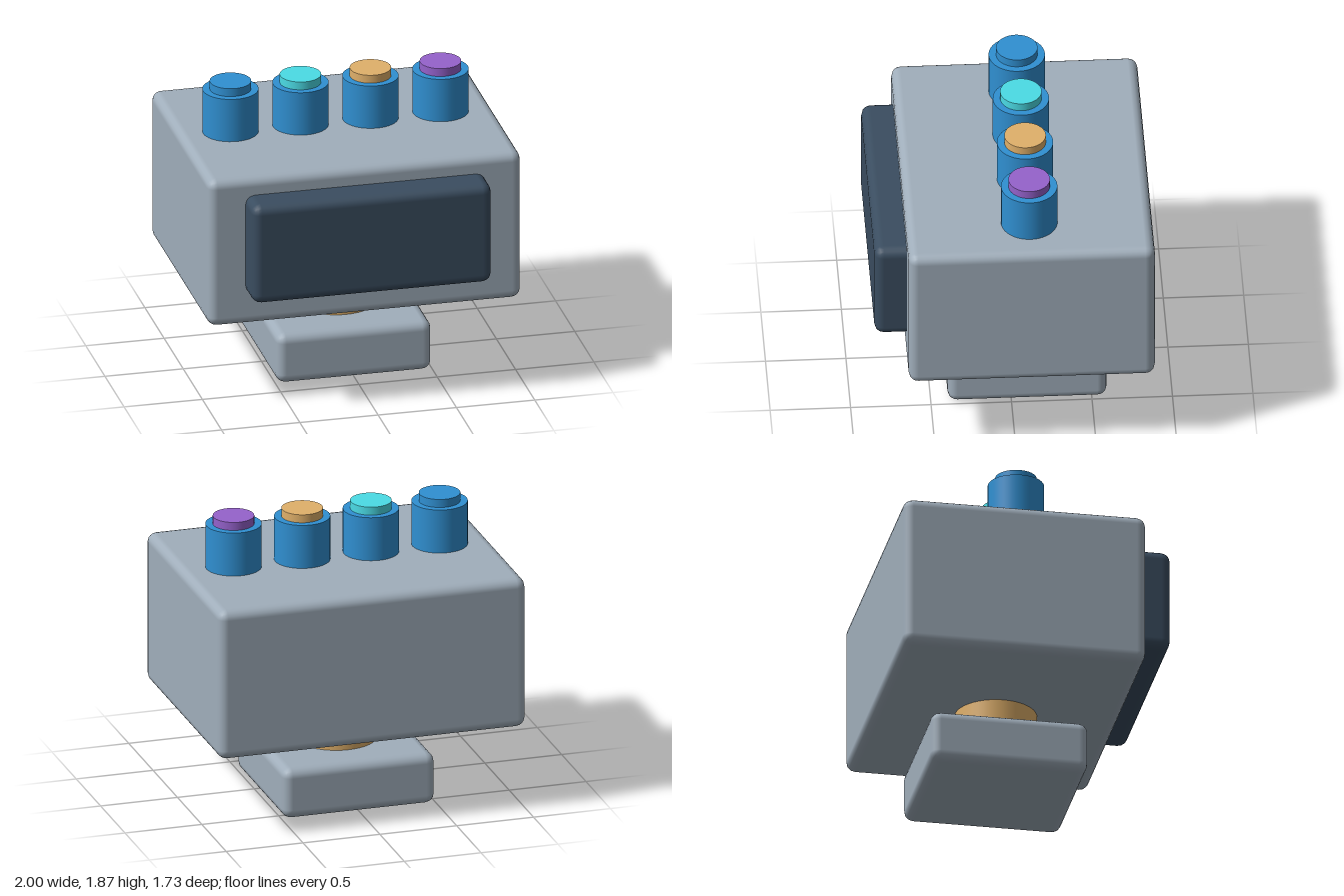
import * as THREE from 'three';
import { RoundedBoxGeometry } from 'three/addons/geometries/RoundedBoxGeometry.js';

const paint = (name, color) => {
  const m = new THREE.MeshStandardMaterial({ color });
  m.name = name;
  return m;
};

export function createModel() {
  const model = new THREE.Group();
  model.name = 'deviceHead';

  const grey = paint('shellGrey', 0xa0aebb);
  const slate = paint('screenSlate', 0x3a4d60);
  const blue = paint('buttonBlue', 0x3090d2);
  const teal = paint('capTeal', 0x4bdce6);
  const gold = paint('gold', 0xe0b06a);
  const purple = paint('capPurple', 0x9562cc);

  const add = (name, geometry, material, x, y, z) => {
    const mesh = new THREE.Mesh(geometry, material);
    mesh.name = name;
    mesh.position.set(x, y, z);
    model.add(mesh);
  };
  // Rounded block given by its extents
  const block = (name, material, [x0, x1], [y0, y1], [z0, z1]) =>
    add(name, new RoundedBoxGeometry(x1 - x0, y1 - y0, z1 - z0, 2, 0.06), material,
      (x0 + x1) / 2, (y0 + y1) / 2, (z0 + z1) / 2);
  // Upright cylinder given by its bottom and top
  const post = (name, material, r, y0, y1, x, z) =>
    add(name, new THREE.CylinderGeometry(r, r, y1 - y0, 40), material, x, (y0 + y1) / 2, z);

  // Foot, neck, body and raised front panel
  block('base', grey, [-0.495, 0.495], [0, 0.33], [-0.595, 0.395]);
  post('neck', gold, 0.257, 0.3, 0.58, 0, -0.1);
  block('body', grey, [-1, 1], [0.545, 1.53], [-0.865, 0.665]);
  block('frontPanel', slate, [-0.765, 0.765], [0.755, 1.415], [0.6, 0.865]);

  // Row of buttons on top, each with a coloured cap
  [blue, teal, gold, purple].forEach((capColor, i) => {
    const x = -0.674 + i * 0.447;
    post('button', blue, 0.175, 1.5, 1.815, x, -0.1);
    post('buttonCap', capColor, 0.129, 1.8, 1.868, x, -0.1);
  });

  return model;
}
